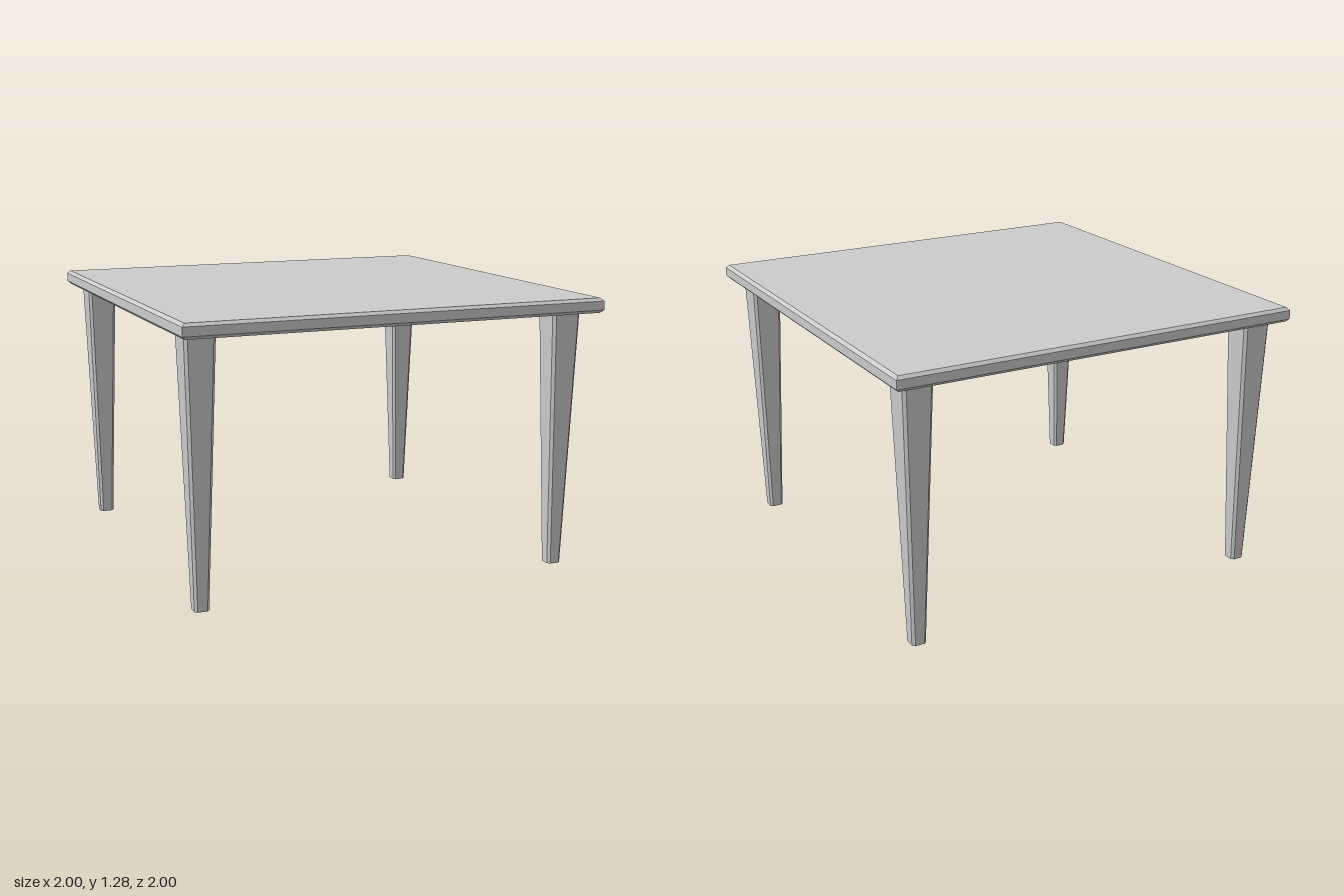
import * as THREE from 'three';

// Square outline with optional bevelled corners
function squareRing(half, bevel, y) {
  const ring = [];
  const inner = half - bevel;
  for (const [sx, sz] of [[1, 1], [-1, 1], [-1, -1], [1, -1]]) {
    const a = new THREE.Vector3(sx * half, y, sz * inner);
    const b = new THREE.Vector3(sx * inner, y, sz * half);
    if (bevel === 0) ring.push(a);
    else ring.push(...(sx * sz > 0 ? [a, b] : [b, a]));
  }
  return ring;
}

// Closed solid through a stack of rings, bottom to top, with hard edges
function loft(rings) {
  const pos = [];
  const tri = (...pts) => pts.forEach((p) => pos.push(p.x, p.y, p.z));
  const n = rings[0].length;
  const last = rings[rings.length - 1];
  for (let i = 0; i < n; i++) {
    const j = (i + 1) % n;
    for (let k = 0; k < rings.length - 1; k++) {
      const lo = rings[k], hi = rings[k + 1];
      tri(lo[i], hi[i], hi[j]);
      tri(lo[i], hi[j], lo[j]);
    }
    tri(new THREE.Vector3(0, last[0].y, 0), last[j], last[i]);
    tri(new THREE.Vector3(0, rings[0][0].y, 0), rings[0][i], rings[0][j]);
  }
  const geo = new THREE.BufferGeometry();
  geo.setAttribute('position', new THREE.Float32BufferAttribute(pos, 3));
  geo.computeVertexNormals();
  return geo;
}

export function createModel() {
  const group = new THREE.Group();
  const material = new THREE.MeshStandardMaterial({ color: 0xcccccc, flatShading: true });

  // Table top with bevelled upper and lower edges
  const bottom = 1.214, top = 1.283, bevel = 0.014;
  const tableTop = new THREE.Mesh(loft([
    squareRing(1 - bevel, 0, bottom),
    squareRing(1, 0, bottom + bevel),
    squareRing(1, 0, top - bevel),
    squareRing(1 - bevel, 0, top),
  ]), material);
  tableTop.name = 'tableTop';
  group.add(tableTop);

  // Four tapered legs with bevelled corners, slightly uneven in placement
  const legGeometry = loft([squareRing(0.034, 0.012, 0), squareRing(0.071, 0.013, bottom)]);
  const legs = {
    frontLeftLeg: [0.873, 0.825],
    frontRightLeg: [-0.888, 0.825],
    backLeftLeg: [0.873, -0.872],
    backRightLeg: [-0.864, -0.872],
  };
  for (const [name, [x, z]] of Object.entries(legs)) {
    const leg = new THREE.Mesh(legGeometry, material);
    leg.name = name;
    leg.position.set(x, 0, z);
    group.add(leg);
  }
  return group;
}
